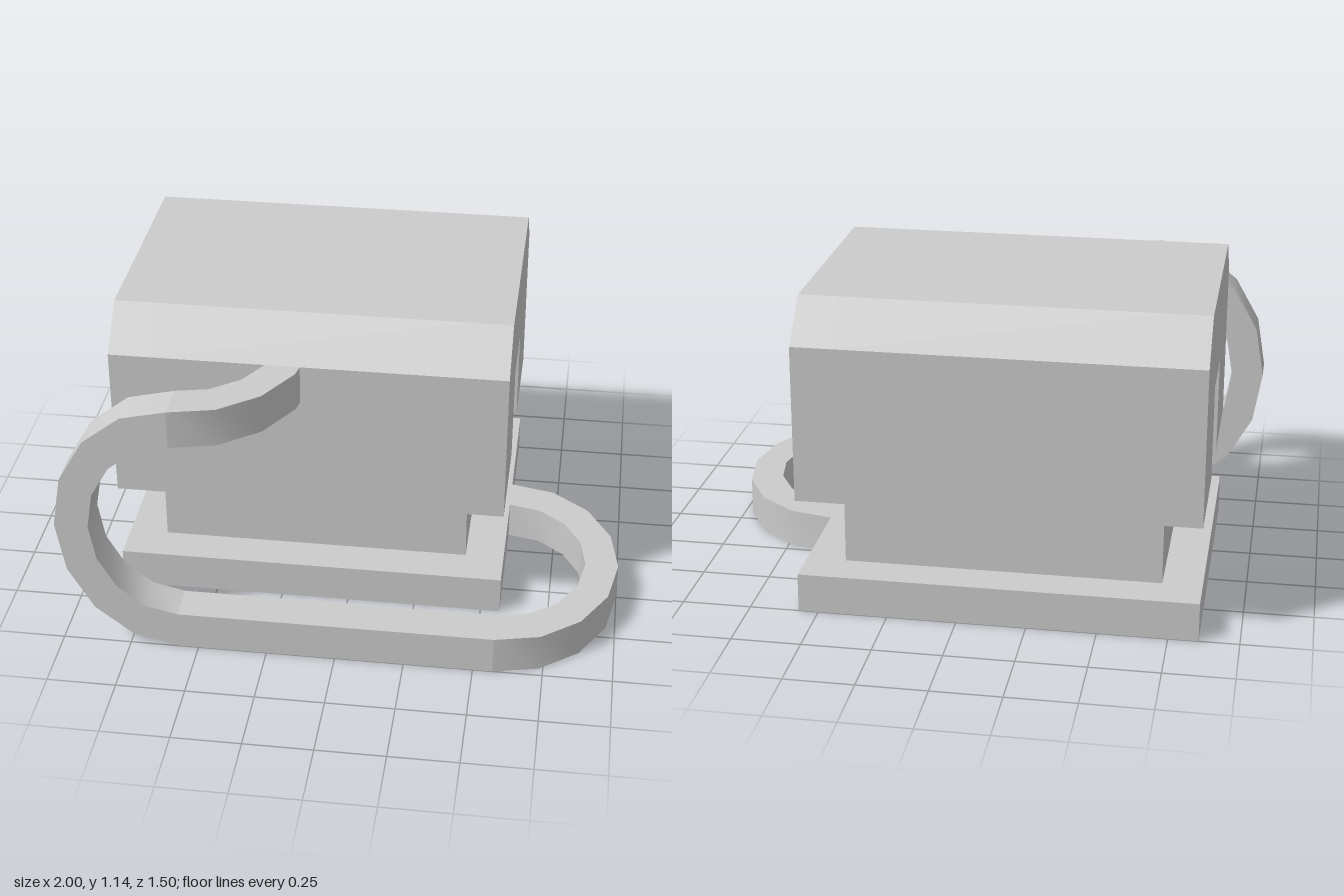
import * as THREE from 'three';
import { toCreasedNormals } from 'three/addons/utils/BufferGeometryUtils.js';

const U = 1 / 7; // one grid unit of the design
const mat = new THREE.MeshStandardMaterial({ color: 0xcccccc });

function add(group, name, geometry) {
  const mesh = new THREE.Mesh(geometry, mat);
  mesh.name = name;
  group.add(mesh);
  return mesh;
}

// Axis-aligned box given by its limits
function box(group, name, x0, x1, y0, y1, z0, z1) {
  const g = new THREE.BoxGeometry(x1 - x0, y1 - y0, z1 - z0);
  g.translate((x0 + x1) / 2, (y0 + y1) / 2, (z0 + z1) / 2);
  return add(group, name, g);
}

// Flat elliptical band, swept between two angles, extruded one unit thick
function bandArc(cx, cy, fromDeg, toDeg, segments) {
  const outer = [], inner = [];
  for (let i = 0; i <= segments; i++) {
    const a = THREE.MathUtils.degToRad(fromDeg + (toDeg - fromDeg) * i / segments);
    const x = 3 * U * Math.cos(a), y = 3.5 * U * Math.sin(a);
    outer.push(new THREE.Vector2(cx + x, cy + y));
    inner.unshift(new THREE.Vector2(cx + x * 5 / 7, cy + y * 5 / 7));
  }
  const shape = new THREE.Shape([...outer, ...inner]);
  const g = new THREE.ExtrudeGeometry(shape, { depth: U, bevelEnabled: false });
  return toCreasedNormals(g, 0.6);
}

// Lays a band drawn in x/z flat, with its top at the given height
function layFlat(geometry, top) {
  return geometry.rotateX(Math.PI / 2).translate(0, top, 0);
}

// Slice of the head: a side profile (z, y) extruded along x
function headSlice(x0, x1, notched) {
  const front = 0.393, back = -0.75;
  const pts = [[front, 3 * U], [front, 1], [front - U, 8 * U], [back + U, 8 * U], [back, 1], [back, 3 * U]];
  if (notched) pts.push([-0.32, 3 * U], [-0.32, 5.5 * U], [-0.035, 5.5 * U], [-0.035, 3 * U]);
  const shape = new THREE.Shape(pts.map(([z, y]) => new THREE.Vector2(-z, y)));
  return new THREE.ExtrudeGeometry(shape, { depth: x1 - x0, bevelEnabled: false })
    .rotateY(Math.PI / 2).translate(x0, 0, 0);
}

export function createModel() {
  const model = new THREE.Group();
  model.name = 'model';

  // Stepped pedestal
  box(model, 'basePlate', -6 * U, 4 * U, 0, U, -0.75, 0.393);
  box(model, 'neck', -5 * U, 3 * U, U, 3 * U, -0.607, 0.25);

  // Chamfered head with a notch in each end
  const head = new THREE.Group();
  head.name = 'head';
  model.add(head);
  add(head, 'headCore', headSlice(-5 * U, 3 * U, false));
  add(head, 'rightEnd', headSlice(-6 * U, -5 * U, true));
  add(head, 'leftEnd', headSlice(3 * U, 4 * U, true));

  // Looped band from the base, along the ground, up and into the head
  const band = new THREE.Group();
  band.name = 'loopBand';
  model.add(band);
  add(band, 'groundBend', layFlat(bandArc(4 * U, 0.25, -90, 90, 8), U));
  box(band, 'groundStrip', -4 * U, 4 * U, 0, U, 0.607, 0.75);
  add(band, 'uprightBend', bandArc(-4 * U, 0.5, 90, 270, 8).translate(0, 0, 0.607));
  add(band, 'headHook', layFlat(bandArc(-4 * U, 0.25, 0, 90, 4), 1));

  return model;
}
